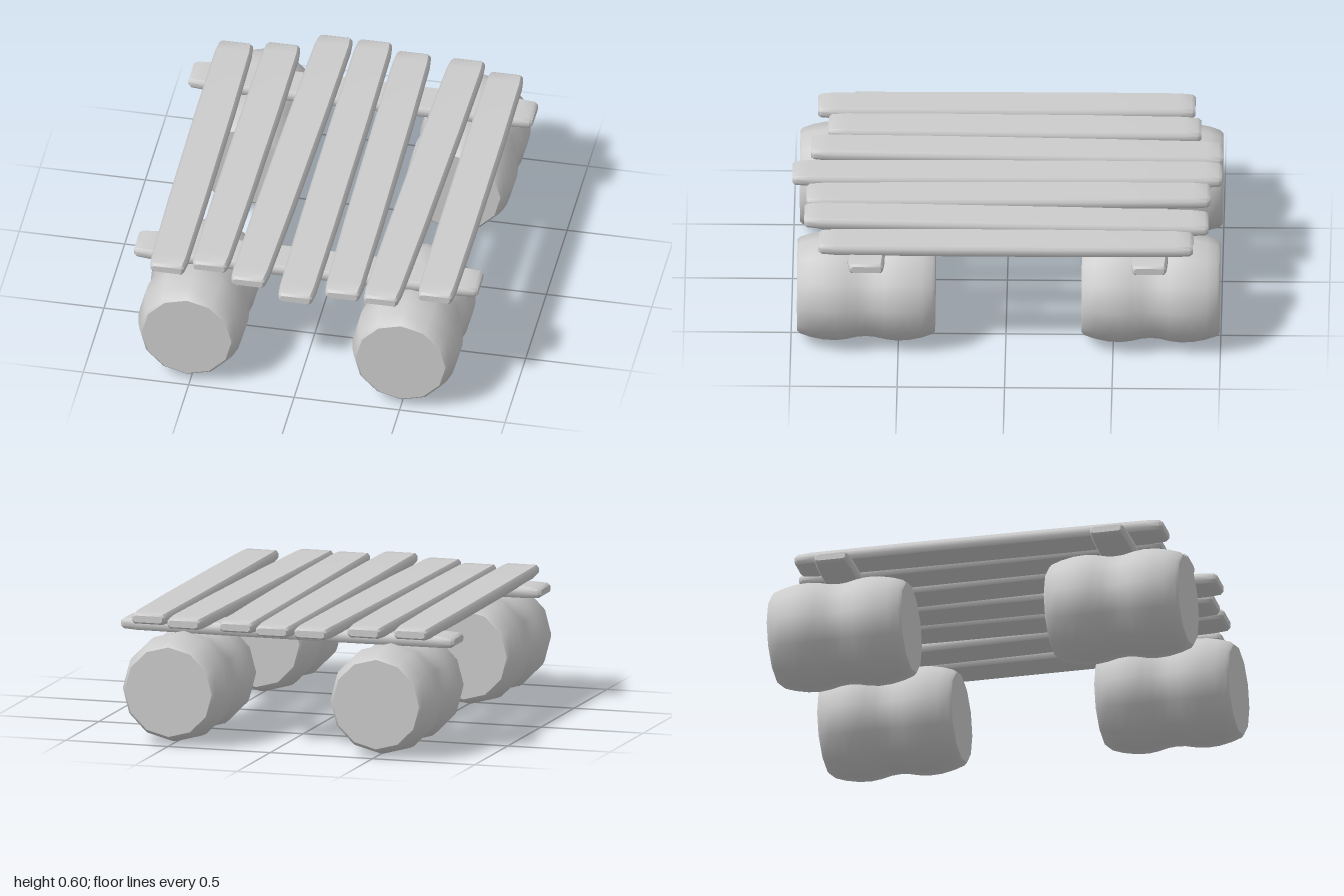
import * as THREE from 'three';
import { toCreasedNormals } from 'three/addons/utils/BufferGeometryUtils.js';

const material = new THREE.MeshStandardMaterial({ color: 0xcccccc });

// Bevelled outline of a board's cross-section, in units of half width / half height
const OUTLINE = [[1, -0.45], [1, 0.45], [0.86, 1], [-0.86, 1], [-1, 0.45], [-1, -0.45], [-0.86, -1], [0.86, -1]];

// Board along z from z0 to z1, leaning from x0 to x1, with worn, tapered ends
function boardGeometry(x0, z0, x1, z1, width, height) {
  const L = z1 - z0;
  const stations = [
    [0, 0.78, 0.55], [0.014, 0.88, 0.86], [0.08, 0.95, 0.96], [0.3 * L, 1, 1],
    [0.7 * L, 1, 1], [L - 0.08, 0.95, 0.96], [L - 0.014, 0.88, 0.86], [L, 0.78, 0.55],
  ];
  const n = OUTLINE.length, pos = [], index = [];
  for (const [d, sw, sh] of stations) {
    const cx = x0 + (x1 - x0) * d / L;
    for (const [u, v] of OUTLINE) pos.push(cx + u * sw * width / 2, v * sh * height / 2, z0 + d);
  }
  for (let s = 0; s < stations.length - 1; s++) {
    for (let i = 0; i < n; i++) {
      const a = s * n + i, b = s * n + (i + 1) % n;
      index.push(a, b, b + n, a, b + n, a + n);
    }
  }
  const last = (stations.length - 1) * n;
  for (let i = 1; i < n - 1; i++) {
    index.push(0, i + 1, i, last, last + i, last + i + 1);
  }
  const g = new THREE.BufferGeometry();
  g.setAttribute('position', new THREE.Float32BufferAttribute(pos, 3));
  g.setIndex(index);
  return toCreasedNormals(g, 0.75);
}

// Twelve-sided barrel with two bulges and a waist, lying along z
function barrelGeometry() {
  const half = [[0.236, 0], [0.239, 0.04], [0.25, 0.09], [0.256, 0.14], [0.253, 0.2], [0.241, 0.26], [0.225, 0.308], [0.212, 0.321], [0, 0.321]];
  const profile = [
    ...half.slice(1).reverse().map(([r, y]) => new THREE.Vector2(r, -y)),
    ...half.map(([r, y]) => new THREE.Vector2(r, y)),
  ];
  const g = new THREE.LatheGeometry(profile, 12);
  g.rotateX(Math.PI / 2);
  return toCreasedNormals(g, 0.75);
}

export function createModel() {
  const raft = new THREE.Group();
  raft.name = 'raft';
  const add = (name, geometry, x, y, z) => {
    const mesh = new THREE.Mesh(geometry, material);
    mesh.name = name;
    mesh.position.set(x, y, z);
    raft.add(mesh);
    return mesh;
  };

  // Four barrel floats
  const barrel = barrelGeometry();
  for (const [side, x] of [['Right', -0.515], ['Left', 0.5]]) {
    for (const [end, z] of [['front', 0.65], ['back', -0.675]]) add(`${end}${side}Barrel`, barrel, x, 0.257, z);
  }

  // Two cross beams, turned to run along x
  const beam = boardGeometry(0, -0.815, 0, 0.815, 0.18, 0.056);
  for (const [end, z] of [['front', 0.648], ['back', -0.67]]) {
    add(`${end}CrossBeam`, beam, 0, 0.521, z).rotation.y = Math.PI / 2;
  }

  // Seven uneven deck planks: back x, back z, front x, front z
  const planks = [
    [-0.64, -0.867, -0.626, 0.89], [-0.421, -0.897, -0.434, 0.838], [-0.193, -1, -0.237, 0.917],
    [-0.006, -1, 0.003, 1], [0.188, -0.947, 0.213, 0.932], [0.446, -0.942, 0.396, 0.94],
    [0.641, -0.873, 0.641, 0.869],
  ];
  planks.forEach(([x0, z0, x1, z1], i) => {
    add(`deckPlank${i + 1}`, boardGeometry(x0, z0, x1, z1, 0.182, 0.056), 0, 0.571, 0);
  });
  return raft;
}
